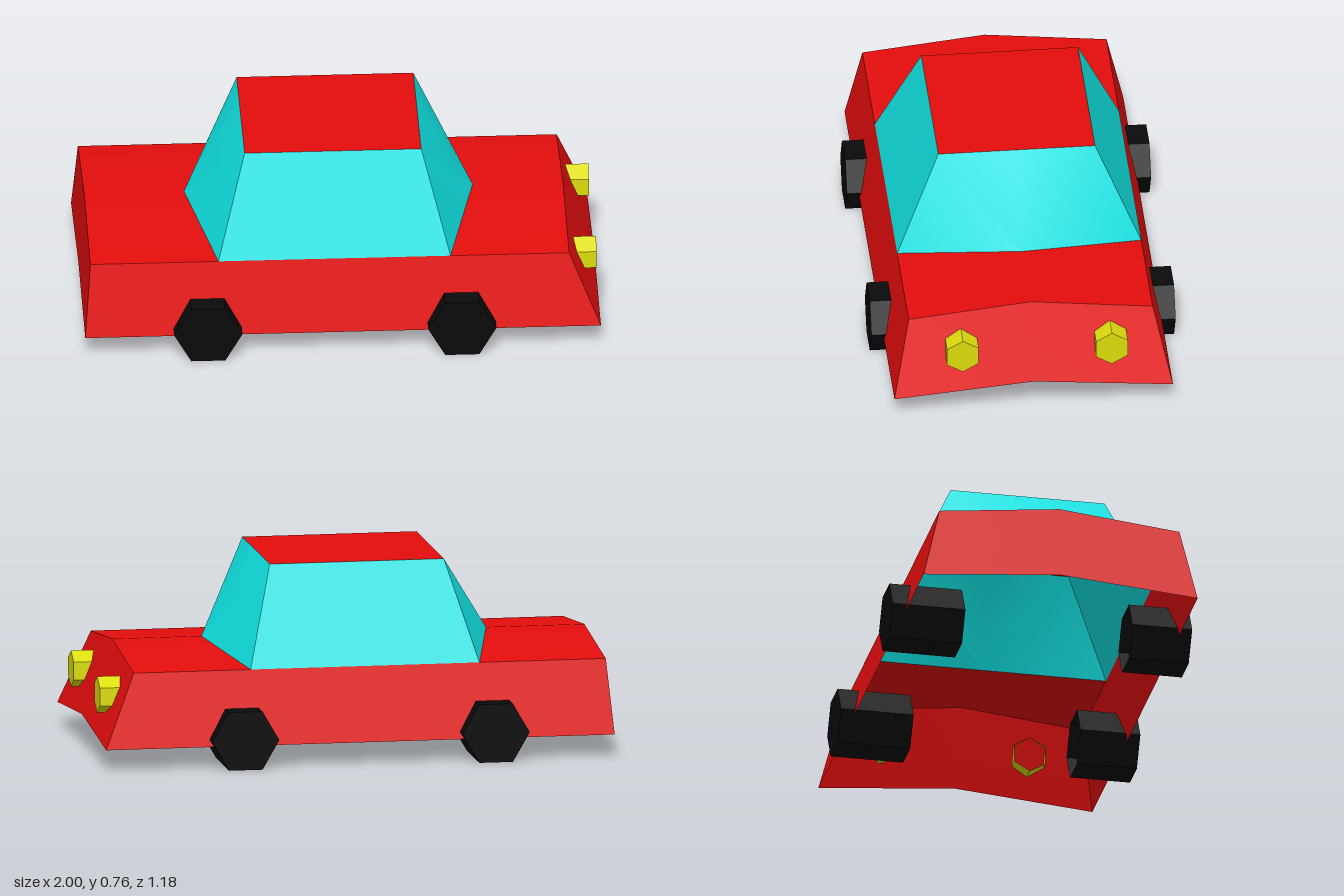
import * as THREE from 'three';
import { toCreasedNormals } from 'three/addons/utils/BufferGeometryUtils.js';

const paint = (color, flatShading = false) =>
  new THREE.MeshStandardMaterial({ color, flatShading, side: THREE.DoubleSide });
const red = paint(0xe50d0d);
const cyan = paint(0x10e2e2);
const black = paint(0x0a0a0a, true);
const yellow = paint(0xdcdc0c, true);

// Shell from polygons given for the +z half, each fanned from its first corner and mirrored to -z.
function shell(name, polygons, material) {
  const pos = [];
  for (const side of [1, -1]) {
    for (const p of polygons) {
      for (let i = 1; i < p.length - 1; i++) {
        const tri = side > 0 ? [p[0], p[i], p[i + 1]] : [p[0], p[i + 1], p[i]];
        for (const [x, y, z] of tri) pos.push(x, y, z * side);
      }
    }
  }
  const geo = new THREE.BufferGeometry();
  geo.setAttribute('position', new THREE.Float32BufferAttribute(pos, 3));
  const mesh = new THREE.Mesh(toCreasedNormals(geo, THREE.MathUtils.degToRad(25)), material);
  mesh.name = name;
  return mesh;
}

// Six-sided cup along +y: closed at the far end, open at the near end.
function hexCup(name, radius, length, material) {
  const profile = [[radius, 0], [radius, length], [0, length]].map(([x, y]) => new THREE.Vector2(x, y));
  const mesh = new THREE.Mesh(new THREE.LatheGeometry(profile, 6, Math.PI / 2), material);
  mesh.name = name;
  return mesh;
}

export function createModel() {
  const car = new THREE.Group();
  car.name = 'car';

  // Lower edge, shoulder corners and raised centre line
  const noseLow = [1, 0.087, 0.542], noseLowMid = [1, 0.135, 0];
  const noseTop = [0.88, 0.375, 0.475], noseTopMid = [0.88, 0.427, 0];
  const tailLow = [-1, 0.087, 0.542], tailLowMid = [-1, 0.135, 0];
  const tailTop = [-0.977, 0.375, 0.475], tailTopMid = [-0.977, 0.427, 0];

  // Cabin base and roof corners
  const frontBase = [0.42, 0.375, 0.475], frontBaseMid = [0.53, 0.427, 0];
  const rearBase = [-0.48, 0.375, 0.475], rearBaseMid = [-0.59, 0.427, 0];
  const frontRoof = [0.315, 0.757, 0.305], frontRoofMid = [0.315, 0.757, 0];
  const rearRoof = [-0.37, 0.757, 0.305], rearRoofMid = [-0.37, 0.757, 0];

  // Painted bodywork, open underneath
  car.add(shell('sidePanels', [[tailLow, noseLow, noseTop, frontBase, rearBase, tailTop]], red));
  car.add(shell('hood', [[frontBaseMid, frontBase, noseTop, noseTopMid]], red));
  car.add(shell('trunkLid', [[tailTopMid, tailTop, rearBase, rearBaseMid]], red));
  car.add(shell('nosePanel', [[noseLowMid, noseTopMid, noseTop, noseLow]], red));
  car.add(shell('tailPanel', [[tailLowMid, tailLow, tailTop, tailTopMid]], red));
  car.add(shell('roof', [[rearRoofMid, rearRoof, frontRoof, frontRoofMid]], red));

  // Glass
  car.add(shell('sideWindows', [[rearBase, frontBase, frontRoof, rearRoof]], cyan));
  car.add(shell('windshield', [[frontBaseMid, frontRoofMid, frontRoof, frontBase]], cyan));
  car.add(shell('rearWindow', [[rearBaseMid, rearBase, rearRoof, rearRoofMid]], cyan));

  // Wheels: the -z pair reaches further inward
  for (const x of [0.46, -0.525]) {
    for (const [side, inner] of [[1, 0.355], [-1, 0.305]]) {
      const wheel = hexCup('wheel', 0.132, 0.592 - inner, black);
      wheel.rotation.x = side * Math.PI / 2;
      wheel.position.set(x, 0.115, side * inner);
      car.add(wheel);
    }
  }

  // Headlights
  for (const z of [0.275, -0.305]) {
    const light = hexCup('headlight', 0.071, 0.09, yellow);
    light.rotation.z = -Math.PI / 2;
    light.position.set(0.904, 0.265, z);
    car.add(light);
  }
  return car;
}
